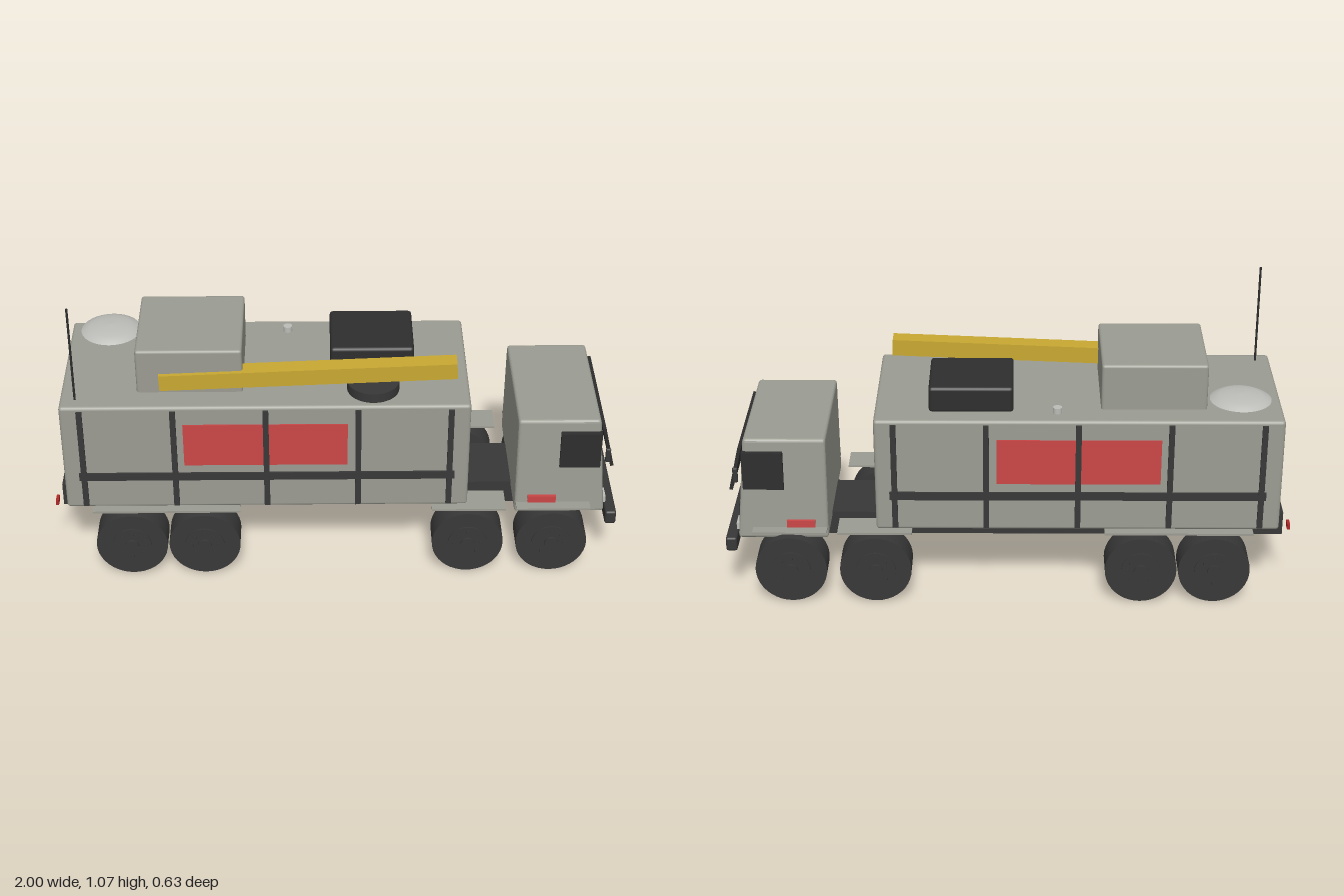
import * as THREE from 'three';
import { RoundedBoxGeometry } from 'three/addons/geometries/RoundedBoxGeometry.js';

const mat = (name, color) => {
  const m = new THREE.MeshStandardMaterial({ color });
  m.name = name;
  return m;
};

export function createModel() {
  const grey = mat('bodyGrey', 0x9b9c92);
  const dark = mat('darkGrey', 0x383838);
  const black = mat('glassBlack', 0x2e2e2e);
  const red = mat('markingRed', 0xcc4646);
  const lampRed = mat('lampRed', 0xb02525);
  const yellow = mat('boomYellow', 0xc9a832);
  const pale = mat('paleGrey', 0xbcbcb8);

  const root = new THREE.Group();
  root.name = 'truck';

  const add = (name, geometry, material, x = 0, y = 0, z = 0, parent = root) => {
    const mesh = new THREE.Mesh(geometry, material);
    mesh.name = name;
    mesh.position.set(x, y, z);
    parent.add(mesh);
    return mesh;
  };

  // Box given by its limits on each axis, with an optional rounded edge
  const box = (name, material, [x0, x1], [y0, y1], [z0, z1], radius = 0) => {
    const size = [x1 - x0, y1 - y0, z1 - z0];
    const geometry = radius
      ? new RoundedBoxGeometry(...size, 2, radius)
      : new THREE.BoxGeometry(...size);
    return add(name, geometry, material, (x0 + x1) / 2, (y0 + y1) / 2, (z0 + z1) / 2);
  };

  // The same box on both sides of the truck
  const pair = (name, material, xs, ys, [z0, z1], radius = 0) => {
    box(name + 'Left', material, xs, ys, [z0, z1], radius);
    box(name + 'Right', material, xs, ys, [-z1, -z0], radius);
  };

  // Chassis and body
  box('chassis', dark, [-0.99, 0.88], [0.172, 0.26], [-0.12, 0.12]);
  box('subframe', dark, [-0.93, 0.45], [0.255, 0.282], [-0.11, 0.11]);
  box('container', grey, [-0.953, 0.465], [0.279, 0.705], [-0.28, 0.28], 0.012);

  // Side ribs, rail and marking panels
  for (let i = -2; i <= 2; i++) {
    const x = -0.243 + i * 0.32;
    pair('sideRib', dark, [x - 0.01, x + 0.01], [0.29, 0.69], [0.278, 0.288]);
  }
  pair('sideRail', dark, [-0.9, 0.415], [0.4, 0.43], [0.278, 0.287]);
  pair('markingPanel', red, [-0.53, 0.04], [0.463, 0.633], [0.277, 0.284]);

  // Cab: leaning front, sides drawn in towards the roof
  const cabGeometry = new RoundedBoxGeometry(0.32, 0.38, 0.54, 2, 0.012);
  const p = cabGeometry.attributes.position;
  for (let i = 0; i < p.count; i++) {
    const t = p.getY(i) / 0.38 + 0.5;
    if (p.getX(i) > 0) p.setX(i, p.getX(i) - 0.032 * t);
    p.setZ(i, p.getZ(i) * (1 - 0.085 * t));
  }
  cabGeometry.computeVertexNormals();
  add('cab', cabGeometry, grey, 0.795, 0.426, 0);

  const windscreen = add('windscreen', new THREE.BoxGeometry(0.012, 0.165, 0.464), black, 0.957, 0.491, 0);
  windscreen.rotation.z = 0.23;
  pair('sideWindow', black, [0.785, 0.928], [0.43, 0.572], [0.245, 0.268]);
  pair('mirror', dark, [0.938, 0.956], [0.475, 0.53], [0.288, 0.3], 0.004);
  pair('cabMarking', red, [0.68, 0.78], [0.283, 0.31], [0.262, 0.276]);
  box('grille', black, [0.935, 0.96], [0.26, 0.322], [-0.177, 0.177]);
  pair('headlight', pale, [0.935, 0.962], [0.26, 0.285], [0.192, 0.247]);
  box('bumper', dark, [0.96, 1.0], [0.19, 0.243], [-0.283, 0.283], 0.008);
  pair('tailLight', lampRed, [-0.998, -0.988], [0.261, 0.281], [0.207, 0.243]);

  // Wheels and mudguards
  const tyre = new THREE.CylinderGeometry(0.127, 0.127, 0.103, 40).rotateX(Math.PI / 2);
  const rim = new THREE.CylinderGeometry(0.07, 0.07, 0.01, 32).rotateX(Math.PI / 2);
  const hub = new THREE.CylinderGeometry(0.025, 0.025, 0.018, 20).rotateX(Math.PI / 2);
  const nut = new THREE.CylinderGeometry(0.007, 0.007, 0.014, 6).rotateX(Math.PI / 2);
  for (const x of [-0.73, -0.47, 0.47, 0.77]) {
    pair('mudguard', grey, [x - 0.131, x + 0.131], [0.272, 0.28], [0.2, 0.308]);
    for (const side of [1, -1]) {
      const wheel = new THREE.Group();
      wheel.name = side > 0 ? 'wheelLeft' : 'wheelRight';
      wheel.position.set(x, 0.127, side * 0.2515);
      root.add(wheel);
      add('tyre', tyre, dark, 0, 0, 0, wheel);
      add('rim', rim, dark, 0, 0, side * 0.052, wheel);
      add('hub', hub, dark, 0, 0, side * 0.056, wheel);
      for (let i = 0; i < 8; i++) {
        const a = (i * Math.PI) / 4;
        add('wheelNut', nut, dark, 0.048 * Math.cos(a), 0.048 * Math.sin(a), side * 0.055, wheel);
      }
    }
  }

  // Roof equipment
  box('roofHousing', grey, [-0.69, -0.322], [0.69, 0.872], [-0.185, 0.185], 0.01);
  box('roofUnit', black, [-0.018, 0.276], [0.7, 0.795], [-0.205, 0.055], 0.012);
  add('turntable', new THREE.CylinderGeometry(0.091, 0.091, 0.04, 32), dark, 0.13, 0.72, 0.168);
  const boom = add('boom', new THREE.BoxGeometry(1.03, 0.06, 0.062), yellow, -0.096, 0.771, 0.169);
  boom.rotation.z = 0.041;
  add('roofVent', new THREE.CylinderGeometry(0.016, 0.016, 0.026, 16), pale, -0.17, 0.713, -0.21);
  add('antenna', new THREE.CylinderGeometry(0.004, 0.004, 0.37, 8), black, -0.9, 0.885, 0.226);

  // Shallow dish, open below
  const dishProfile = [[0.107, 0], [0.092, 0.009], [0.074, 0.016], [0.04, 0.021], [0, 0.023]]
    .map(([r, y]) => new THREE.Vector2(r, y));
  const dishMaterial = mat('dishPale', 0xbcbcb8);
  dishMaterial.side = THREE.DoubleSide;
  add('dish', new THREE.LatheGeometry(dishProfile, 32), dishMaterial, -0.805, 0.74, -0.17);

  return root;
}
